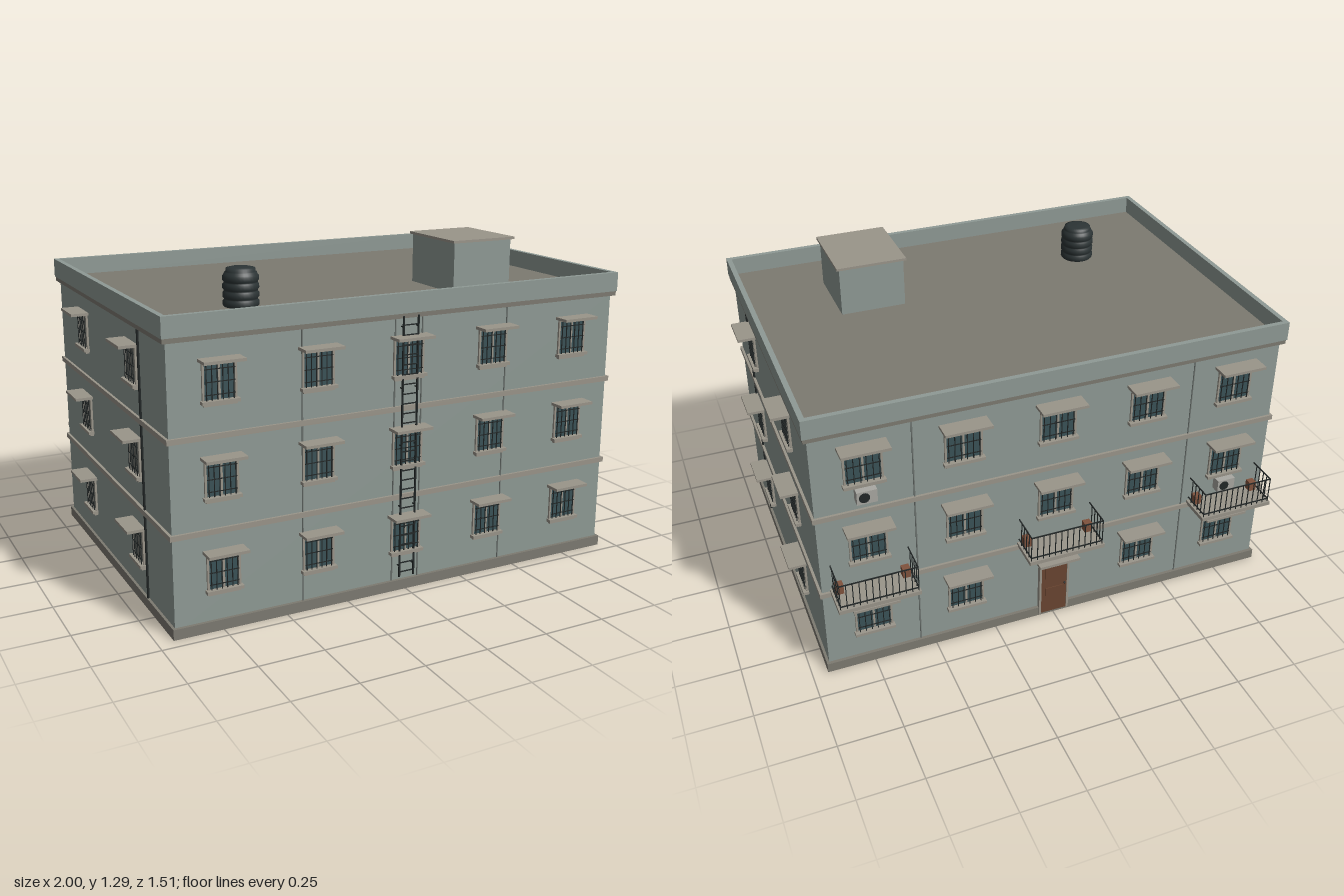
import * as THREE from 'three';
import { mergeGeometries } from 'three/addons/utils/BufferGeometryUtils.js';

const mat = (color) => new THREE.MeshStandardMaterial({ color });
const M = {
  wall: mat(0x8f9a95), trim: mat(0x9a958a), stone: mat(0x7d7a71), pipe: mat(0x747b77),
  metal: mat(0x222727), glass: mat(0x3a5257), blind: mat(0x7e7f78), door: mat(0x6a4531),
  pot: mat(0x80523c), unit: mat(0xa9a8a2), tank: mat(0x2c3435),
};

// Box geometry given by its min and max corners
function span(x0, x1, y0, y1, z0, z1) {
  return new THREE.BoxGeometry(x1 - x0, y1 - y0, z1 - z0)
    .translate((x0 + x1) / 2, (y0 + y1) / 2, (z0 + z1) / 2);
}

function add(parent, name, geometry, material) {
  const mesh = new THREE.Mesh(Array.isArray(geometry) ? mergeGeometries(geometry) : geometry, material);
  mesh.name = name;
  parent.add(mesh);
  return mesh;
}

const X = 0.93, FRONT = 0.69, BACK = -0.623, PITCH = 0.345;

// Barred window on the plane z = 0, facing +z; y = 0 is the bottom of the opening
function makeWindow(w, h, hoodW, hoodY, hoodD, pane) {
  const g = new THREE.Group();
  g.name = 'window';
  const a = w / 2, f = 0.008;
  add(g, 'windowPane', span(-a, a, 0, h, -0.01, 0.002), pane);
  add(g, 'windowFrame', [
    span(-a - f, -a, 0, h, -0.01, 0.008), span(a, a + f, 0, h, -0.01, 0.008),
    span(-a - f, a + f, h, h + f, -0.01, 0.008),
    span(-0.004, 0.004, 0, h, -0.01, 0.005),
  ], M.trim);
  add(g, 'sill', [
    span(-a - 0.014, a + 0.014, -0.012, 0, -0.01, 0.023),
    span(-a - 0.006, a + 0.006, -0.02, -0.012, -0.01, 0.014),
  ], M.trim);
  add(g, 'hood', span(-hoodW / 2, hoodW / 2, hoodY - 0.011, hoodY, -0.01, hoodD), M.trim);
  const bars = [];
  for (let i = 0; i < 6; i++) {
    const x = -a + 0.006 + (i / 5) * (w - 0.012);
    bars.push(span(x - 0.0015, x + 0.0015, 0, h, 0.01, 0.013));
  }
  for (const t of [0.15, 0.5, 0.85]) bars.push(span(-a, a, h * t - 0.0015, h * t + 0.0015, 0.009, 0.012));
  add(g, 'windowBars', bars, M.metal);
  return g;
}

// Balcony with railing and two planters, back edge on z = 0 and reaching +z
function makeBalcony() {
  const g = new THREE.Group();
  g.name = 'balcony';
  const a = 0.156, d = 0.132, top = 0.508, r = 0.002;
  add(g, 'balconySlab', span(-a, a, 0.381, 0.397, -0.01, d), M.trim);
  const e = a - 0.008, ez = d - 0.008, rail = [];
  for (const y of [0.412, top]) {
    rail.push(span(-e, e, y - 2 * r, y, ez - r, ez + r));
    for (const s of [-1, 1]) rail.push(span(s * e - r, s * e + r, y - 2 * r, y, 0, ez));
  }
  for (let i = 0; i <= 12; i++) {
    const x = -e + (i / 12) * 2 * e;
    rail.push(span(x - 0.0015, x + 0.0015, 0.395, top, ez - 0.0015, ez + 0.0015));
  }
  for (const s of [-1, 1]) for (let i = 1; i < 5; i++) {
    const z = ez * i / 5;
    rail.push(span(s * e - 0.0015, s * e + 0.0015, 0.395, top, z - 0.0015, z + 0.0015));
  }
  add(g, 'balconyRailing', rail, M.metal);
  for (const s of [-1, 1]) add(g, 'planter', span(s * 0.128 - 0.015, s * 0.128 + 0.015, 0.397, 0.437, 0.012, 0.042), M.pot);
  return g;
}

// Air conditioner with a round fan grille, facing +z
function makeAirUnit() {
  const g = new THREE.Group();
  g.name = 'airUnit';
  add(g, 'airUnitCase', span(-0.038, 0.038, 0, 0.053, -0.005, 0.038), M.unit);
  add(g, 'airUnitFan', new THREE.CylinderGeometry(0.02, 0.02, 0.003, 20).rotateX(Math.PI / 2).translate(-0.01, 0.027, 0.039), M.metal);
  return g;
}

export function createModel() {
  const model = new THREE.Group();
  model.name = 'apartmentBlock';

  // Walls, plinth, floor bands and roof
  add(model, 'walls', span(-X, X, 0.02, 1.065, BACK, FRONT), M.wall);
  add(model, 'plinth', span(-0.94, 0.94, 0, 0.04, -0.636, 0.703), M.stone);
  for (const y of [0.367, 0.712]) add(model, 'floorBand', span(-0.94, 0.94, y, y + 0.02, -0.633, 0.7), M.trim);
  add(model, 'roofSlab', span(-0.945, 0.945, 1.062, 1.085, -0.639, 0.705), M.stone);
  add(model, 'parapet', [
    span(-0.948, 0.948, 1.08, 1.155, 0.688, 0.708), span(-0.948, 0.948, 1.08, 1.155, -0.643, -0.623),
    span(-0.948, -0.928, 1.08, 1.155, -0.623, 0.688), span(0.928, 0.948, 1.08, 1.155, -0.623, 0.688),
  ], M.wall);

  // Roof stair hut
  add(model, 'stairHut', span(0.33, 0.592, 1.08, 1.28, 0.168, 0.475), M.wall);
  add(model, 'stairHutCap', span(0.32, 0.603, 1.28, 1.29, 0.158, 0.485), M.trim);

  // Ribbed water tank
  const profile = [[0, 1.08], [0.063, 1.08]];
  for (let i = 0; i < 4; i++) {
    const y = 1.085 + i * 0.031;
    profile.push([0.063, y], [0.068, y + 0.006], [0.068, y + 0.02], [0.063, y + 0.026]);
  }
  profile.push([0.06, 1.212], [0.055, 1.215], [0.055, 1.226], [0.04, 1.23], [0, 1.232]);
  add(model, 'waterTank', new THREE.LatheGeometry(profile.map((p) => new THREE.Vector2(...p)), 32), M.tank)
    .position.set(-0.505, 0, 0.33);

  // Put a wall-mounted part on one of the four sides
  const place = (part, side, u, y) => {
    if (side === 'front') part.position.set(u, y, FRONT);
    else if (side === 'back') part.position.set(u, y, BACK);
    else part.position.set(side === 'left' ? X : -X, y, u);
    part.rotation.y = { front: 0, back: Math.PI, left: Math.PI / 2, right: -Math.PI / 2 }[side];
    model.add(part);
  };

  // Windows on three floors
  for (let floor = 0; floor < 3; floor++) {
    const y = 0.16 + floor * PITCH;
    for (const x of [-0.743, -0.37, 0, 0.37, 0.743]) {
      place(makeWindow(0.112, 0.128, 0.153, 0.148, 0.064, M.glass), 'front', x, y);
      if (floor > 0 || x !== 0) place(makeWindow(0.13, 0.145, 0.18, 0.162, 0.072, M.glass), 'back', x, y);
    }
    for (const z of [-0.273, 0.342]) place(makeWindow(0.108, 0.128, 0.148, 0.148, 0.07, M.blind), 'left', z, y);
    for (const z of [-0.287, 0.327]) place(makeWindow(0.108, 0.128, 0.148, 0.148, 0.07, M.blind), 'right', z, y);
  }

  // Balconies and air conditioners at the back
  for (const x of [-0.743, 0, 0.743]) place(makeBalcony(), 'back', x, 0);
  place(makeAirUnit(), 'back', 0.743, 0.775);
  place(makeAirUnit(), 'back', -0.743, 0.43);

  // Back door
  const door = new THREE.Group();
  door.name = 'backDoor';
  add(door, 'doorLeaf', span(-0.055, 0.055, 0.01, 0.275, -0.01, 0.015), M.door);
  add(door, 'doorPanels', [span(-0.038, 0.038, 0.06, 0.135, 0, 0.018), span(-0.038, 0.038, 0.16, 0.25, 0, 0.018)], M.door);
  add(door, 'doorFrame', [
    span(-0.064, -0.055, 0.01, 0.284, -0.01, 0.018), span(0.055, 0.064, 0.01, 0.284, -0.01, 0.018),
    span(-0.055, 0.055, 0.275, 0.284, -0.01, 0.018),
  ], M.trim);
  add(door, 'doorHood', span(-0.085, 0.085, 0.288, 0.3, -0.01, 0.07), M.trim);
  add(door, 'doorKnob', new THREE.SphereGeometry(0.005, 10, 8).translate(0.045, 0.145, 0.019), M.metal);
  place(door, 'back', 0, 0);

  // Drain pipes
  const pipe = (side, u, r, material) => {
    const g = new THREE.Group();
    g.name = 'drainPipe';
    add(g, 'drainPipeTube', new THREE.CylinderGeometry(r, r, 1.03, 10).translate(0, 0.55, r * 0.7), material);
    place(g, side, u, 0);
  };
  for (const x of [-0.432, -0.057, 0.057, 0.432]) pipe('front', x, 0.003, M.pipe);
  for (const x of [-0.56, 0.56]) pipe('back', x, 0.003, M.pipe);
  for (const side of ['left', 'right']) pipe(side, 0.415, 0.005, M.metal);

  // Ladder up the front
  const ladder = [];
  for (const s of [-1, 1]) ladder.push(span(s * 0.031 - 0.003, s * 0.031 + 0.003, 0.055, 1.07, 0.703, 0.709));
  for (let y = 0.075; y < 1.06; y += 0.037) ladder.push(span(-0.031, 0.031, y - 0.002, y + 0.002, 0.704, 0.708));
  for (const y of [0.1, 0.34, 0.58, 0.8, 1.03]) for (const s of [-1, 1])
    ladder.push(span(s * 0.031 - 0.002, s * 0.031 + 0.002, y - 0.002, y + 0.002, 0.685, 0.705));
  add(model, 'ladder', ladder, M.metal);

  return model;
}
